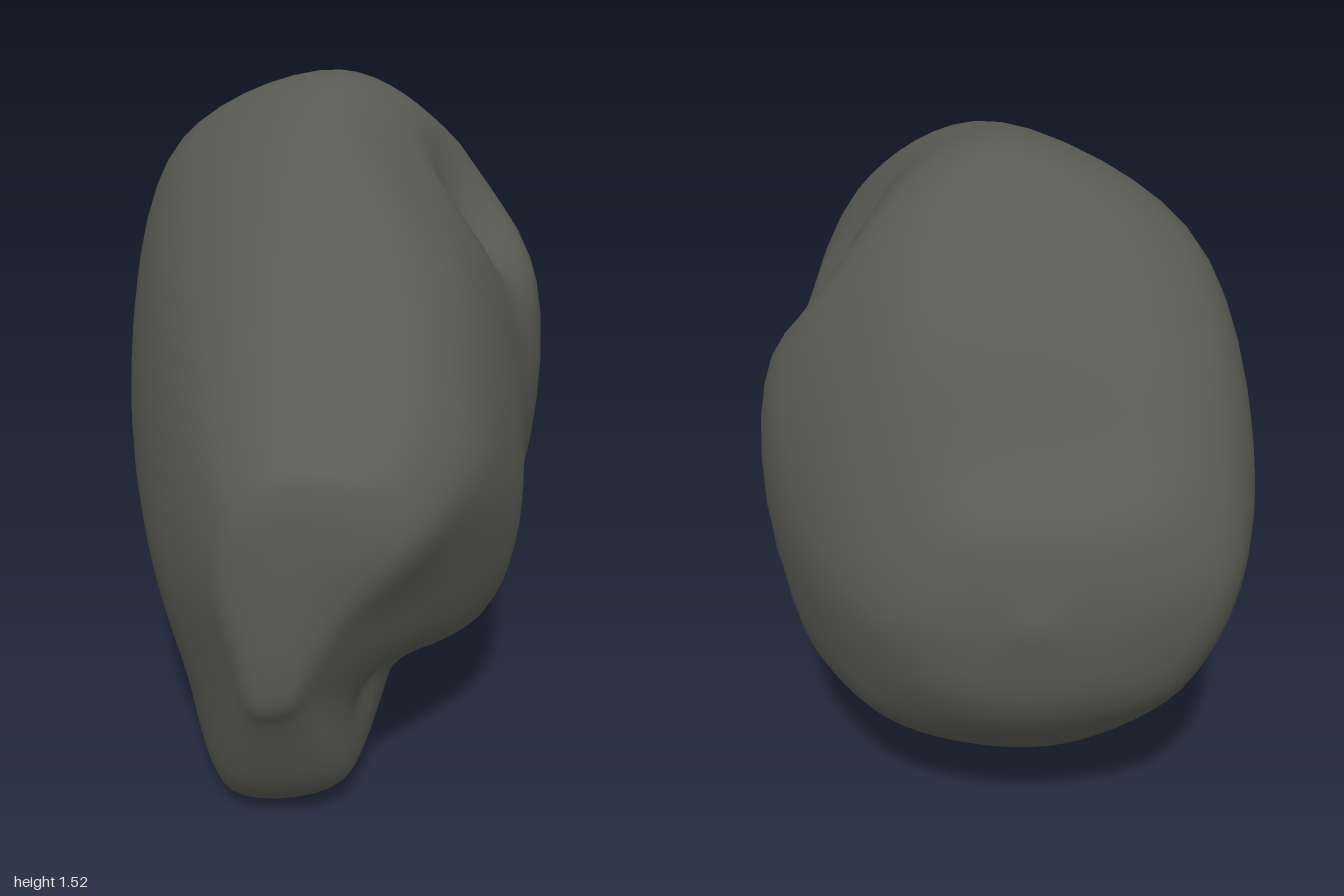
import * as THREE from 'three';
import { mergeVertices } from 'three/addons/utils/BufferGeometryUtils.js';

// Cross-sections from front to back: z, then x,y pairs clockwise from the top
// (top, upper right, right, shelf, notch, keel right, keel left, lower left, left, upper left)
const SECTIONS = [
  [0.93, 0.12, 1.0, 0.3, 0.97, 0.37, 0.82, 0.24, 0.6, 0.17, 0.47, 0.12, 0.38, 0.02, 0.36, -0.03, 0.5, -0.07, 0.7, -0.02, 0.9],
  [0.72, 0.1, 1.2, 0.34, 1.12, 0.48, 0.88, 0.37, 0.52, 0.23, 0.32, 0.18, 0.09, -0.07, 0.04, -0.15, 0.3, -0.22, 0.65, -0.12, 1.05],
  [0.4, 0.1, 1.37, 0.39, 1.2, 0.545, 0.7, 0.47, 0.38, 0.28, 0.26, 0.2, 0.08, -0.17, 0.04, -0.27, 0.25, -0.36, 0.7, -0.23, 1.18],
  [0, 0.04, 1.48, 0.39, 1.21, 0.535, 0.78, 0.47, 0.36, 0.3, 0.27, 0.19, 0.15, -0.15, 0.1, -0.36, 0.3, -0.485, 0.75, -0.35, 1.28],
  [-0.4, 0, 1.515, 0.28, 1.37, 0.535, 0.97, 0.48, 0.35, 0.37, 0.25, 0.22, 0.2, -0.15, 0.21, -0.42, 0.34, -0.555, 0.85, -0.43, 1.32],
  [-0.7, -0.08, 1.34, 0.2, 1.24, 0.42, 0.8, 0.36, 0.42, 0.28, 0.3, 0.13, 0.23, -0.15, 0.22, -0.42, 0.39, -0.55, 0.8, -0.44, 1.15],
  [-0.88, -0.1, 1.03, 0.13, 0.97, 0.27, 0.7, 0.22, 0.51, 0.15, 0.43, 0.04, 0.38, -0.15, 0.38, -0.37, 0.48, -0.48, 0.75, -0.37, 0.97],
];

// Hollows in the stone: centre, radius, push
const HOLLOWS = [
  { at: [0.4, 1.22, -0.22], radius: 0.26, push: [-0.06, -0.07, 0] }, // upper right chip
  { at: [0.34, 0.27, -0.2], radius: 0.24, push: [-0.04, 0.1, 0] }, // undercut behind the keel
  { at: [0.5, 0.48, -0.38], radius: 0.16, push: [-0.03, 0.01, 0] }, // side dimple
  { at: [0.26, 0.35, 0.62], radius: 0.16, push: [-0.03, 0.02, 0] }, // valley above the keel
];
const AROUND = 70, ALONG = 64;

// Smooth closed ring through one section
function ringFrom([z, ...xy]) {
  const pts = [];
  for (let k = 0; k < xy.length; k += 2) pts.push(new THREE.Vector3(xy[k], xy[k + 1], z));
  const curve = new THREE.CatmullRomCurve3(pts, true);
  return Array.from({ length: AROUND }, (_, j) => curve.getPoint(j / AROUND));
}

// Ring shrunk toward an end point, to round the end off
function capRing(ring, pole, scaleX, scaleY, z) {
  return ring.map((p) => new THREE.Vector3(
    pole.x + (p.x - pole.x) * scaleX,
    pole.y + (p.y - pole.y) * scaleY,
    z,
  ));
}

// Move a point by every hollow it lies in, fading out toward the rim
function carve(p) {
  const moved = p.clone();
  for (const { at, radius, push } of HOLLOWS) {
    const t = p.distanceTo(new THREE.Vector3(...at)) / radius;
    if (t < 1) moved.addScaledVector(new THREE.Vector3(...push), (1 - t * t) ** 2);
  }
  return moved;
}

function boulderGeometry() {
  const rings = SECTIONS.map(ringFrom);
  const front = new THREE.Vector3(0.1, 0.74, 1);
  const back = new THREE.Vector3(-0.08, 0.7, -1);
  const all = [
    rings[0].map(() => front.clone()),
    capRing(rings[0], front, 0.68, 0.78, 0.98),
    ...rings,
    capRing(rings.at(-1), back, 0.62, 0.6, -0.963),
    rings[0].map(() => back.clone()),
  ];

  // Lengthwise curves through matching ring points
  const pos = [], index = [];
  for (let j = 0; j < AROUND; j++) {
    const curve = new THREE.CatmullRomCurve3(all.map((r) => r[j]));
    for (let i = 0; i <= ALONG; i++) pos.push(...carve(curve.getPoint(i / ALONG)).toArray());
  }
  const at = (i, j) => (j % AROUND) * (ALONG + 1) + i;
  for (let j = 0; j < AROUND; j++) {
    for (let i = 0; i < ALONG; i++) {
      const a = at(i, j), b = at(i, j + 1), c = at(i + 1, j), d = at(i + 1, j + 1);
      if (i > 0) index.push(a, b, c);
      if (i < ALONG - 1) index.push(b, d, c);
    }
  }
  let geo = new THREE.BufferGeometry();
  geo.setAttribute('position', new THREE.Float32BufferAttribute(pos, 3));
  geo.setIndex(index);
  geo = mergeVertices(geo, 1e-5);

  // Stand it on the ground
  geo.computeBoundingBox();
  geo.translate(0, -geo.boundingBox.min.y, 0);
  geo.computeVertexNormals();
  return geo;
}

export function createModel() {
  const group = new THREE.Group();
  group.name = 'rock';
  const stone = new THREE.MeshStandardMaterial({ color: 0x5b5c55 });
  stone.name = 'dark grey stone';
  const boulder = new THREE.Mesh(boulderGeometry(), stone);
  boulder.name = 'boulder';
  group.add(boulder);
  return group;
}
